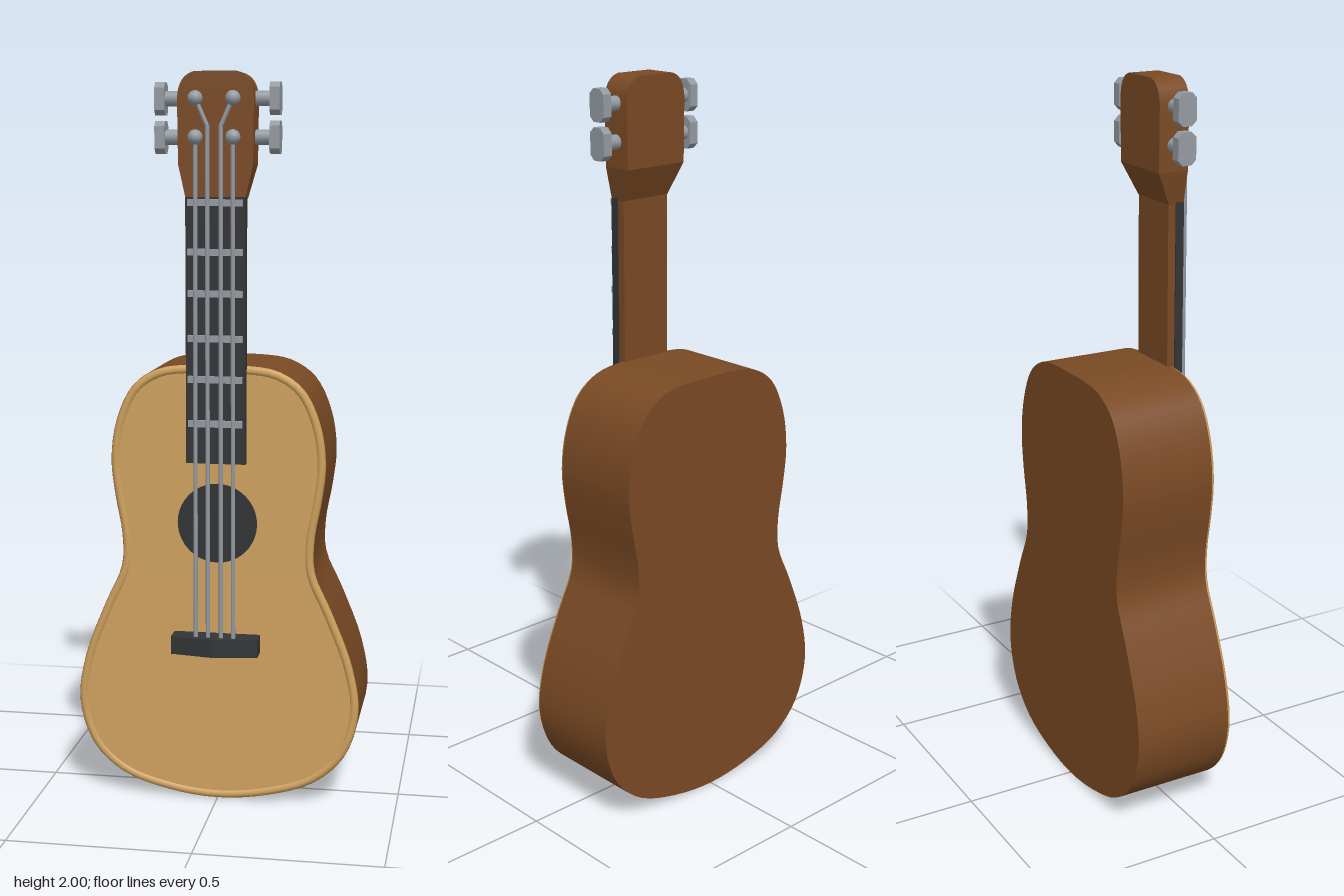
import * as THREE from 'three';
import { toCreasedNormals } from 'three/addons/utils/BufferGeometryUtils.js';

const mat = (name, color) => {
  const m = new THREE.MeshStandardMaterial({ color });
  m.name = name;
  return m;
};

export function createModel() {
  const group = new THREE.Group();
  const brown = mat('brown wood', 0x7a4a24);
  const tan = mat('pale wood', 0xcfa25f);
  const dark = mat('dark wood', 0x333436);
  const metal = mat('metal', 0x949ba2);

  const add = (name, geometry, material) => {
    const mesh = new THREE.Mesh(geometry, material);
    mesh.name = name;
    group.add(mesh);
    return mesh;
  };
  // Box given by its limits on each axis
  const box = (x0, x1, y0, y1, z0, z1) =>
    new THREE.BoxGeometry(x1 - x0, y1 - y0, z1 - z0)
      .translate((x0 + x1) / 2, (y0 + y1) / 2, (z0 + z1) / 2);
  // Round bar between two points
  const rod = (name, a, b, r, material, sides = 8) => {
    const from = new THREE.Vector3(...a), to = new THREE.Vector3(...b);
    const dir = to.clone().sub(from);
    const mesh = add(name, new THREE.CylinderGeometry(r, r, dir.length(), sides), material);
    mesh.position.copy(from).add(to).multiplyScalar(0.5);
    mesh.quaternion.setFromUnitVectors(new THREE.Vector3(0, 1, 0), dir.normalize());
    return mesh;
  };
  // Move every vertex by a rule
  const bend = (geometry, rule) => {
    const p = geometry.attributes.position, v = new THREE.Vector3();
    for (let i = 0; i < p.count; i++) {
      rule(v.fromBufferAttribute(p, i));
      p.setXYZ(i, v.x, v.y, v.z);
    }
    return geometry;
  };
  // The body gets slightly thinner toward the neck
  const taper = (g) => bend(g, (v) => { v.z *= 1 - 0.07 * v.y / 1.22; });

  // Body outline: right half mirrored into a closed curve
  const half = [[0.14, 0.016], [0.27, 0.06], [0.355, 0.14], [0.394, 0.265], [0.375, 0.4],
    [0.318, 0.55], [0.27, 0.66], [0.268, 0.75], [0.287, 0.86], [0.297, 0.96], [0.281, 1.07],
    [0.235, 1.165], [0.165, 1.212], [0.08, 1.225]];
  const loop = [[0, 0], ...half, [0, 1.225], ...half.map(([x, y]) => [-x, y]).reverse()];
  const curve = new THREE.CatmullRomCurve3(
    loop.map(([x, y]) => new THREE.Vector3(x, y, 0)), true, 'centripetal');
  const N = 120;
  const outline = curve.getPoints(N).slice(0, N);
  const inset = (d) => outline.map((p, i) => {
    const a = outline[(i + N - 1) % N], b = outline[(i + 1) % N];
    const t = b.clone().sub(a).normalize();
    return new THREE.Vector3(p.x - t.y * d, p.y + t.x * d, 0);
  });
  const slab = (points, z0, z1) => taper(new THREE.ExtrudeGeometry(
    new THREE.Shape(points.map((p) => new THREE.Vector2(p.x, p.y))),
    { depth: z1 - z0, bevelEnabled: false }).translate(0, 0, z0));

  add('bodyShell', toCreasedNormals(slab(outline, -0.181, 0.108), 0.6), brown);
  add('soundboard', toCreasedNormals(slab(inset(0.012), 0.1, 0.114), 0.6), tan);
  const rimPath = new THREE.CatmullRomCurve3(inset(0.013), true);
  add('bodyRim', taper(new THREE.TubeGeometry(rimPath, N, 0.0125, 8, true)
    .translate(0, 0, 0.1075)), tan);

  // Sound hole
  add('soundHole', new THREE.CylinderGeometry(0.11, 0.11, 0.006, 40)
    .rotateX(Math.PI / 2).translate(0, 0.79, 0.109), dark);

  // Bridge, its front rising to a ridge in the middle
  const bridge = bend(new THREE.BoxGeometry(0.24, 0.05, 0.06, 2, 1, 1).translate(0, 0.455, 0.135),
    (v) => { if (v.z > 0.15) v.z = Math.abs(v.x) < 0.01 ? 0.185 : 0.165; }).toNonIndexed();
  bridge.computeVertexNormals();
  add('bridge', bridge, dark);

  // Neck and fingerboard
  add('neck', box(-0.078, 0.078, 0.97, 1.68, 0.09, 0.124), brown);
  add('fingerboard', box(-0.081, 0.081, 0.96, 1.675, 0.112, 0.136), dark);
  for (const y of [1.66, 1.53, 1.42, 1.3, 1.19, 1.07])
    add('fret', box(-0.074, 0.074, y - 0.009, y + 0.009, 0.13, 0.147), metal);

  // Headstock: flared lower part, then a rounded upper part
  const flare = bend(box(-0.1, 0.1, 1.67, 1.76, 0.047, 0.135), (v) => {
    if (v.y < 1.7) {
      v.x *= 0.8;
      if (v.z < 0.1) v.z = 0.09;
    }
  }).toNonIndexed();
  flare.computeVertexNormals();
  add('headstockBase', flare, brown);
  const head = new THREE.Shape();
  head.moveTo(-0.1, 1.76);
  head.lineTo(0.1, 1.76);
  head.lineTo(0.102, 1.93);
  head.quadraticCurveTo(0.1, 1.99, 0.055, 2);
  head.lineTo(-0.055, 2);
  head.quadraticCurveTo(-0.1, 1.99, -0.102, 1.93);
  head.closePath();
  add('headstock', toCreasedNormals(new THREE.ExtrudeGeometry(head,
    { depth: 0.088, bevelEnabled: false, curveSegments: 8 }).translate(0, 0, 0.047), 0.5), brown);

  // Tuning knob: tall plate with cut corners, lying across x
  const [w, h, c] = [0.027, 0.043, 0.014];
  const knobShape = new THREE.Shape([[w, h - c], [w - c, h], [c - w, h], [-w, h - c],
    [-w, c - h], [c - w, -h], [w - c, -h], [w, c - h]].map(([x, y]) => new THREE.Vector2(x, y)));
  const knob = new THREE.ExtrudeGeometry(knobShape, { depth: 0.027, bevelEnabled: false })
    .translate(0, 0, -0.0135).rotateY(Math.PI / 2);

  for (const s of [-1, 1]) {
    for (const y of [1.93, 1.83]) {
      rod('tunerShaft', [s * 0.095, y, 0.091], [s * 0.145, y, 0.091], 0.02, metal, 12);
      add('tunerKnob', knob, metal).position.set(s * 0.1535, y, 0.091);
      rod('stringPost', [s * 0.05, y, 0.125], [s * 0.05, y, 0.155], 0.009, metal);
      add('postCap', new THREE.SphereGeometry(0.02, 16, 12), metal)
        .position.set(s * 0.05, y, 0.157);
    }
    // Outer string ends at the lower post, inner string fans out to the upper one
    rod('outerString', [s * 0.052, 0.46, 0.157], [s * 0.05, 1.83, 0.157], 0.006, metal);
    rod('innerString', [s * 0.018, 0.46, 0.157], [s * 0.018, 1.86, 0.157], 0.006, metal);
    rod('innerStringEnd', [s * 0.018, 1.858, 0.157], [s * 0.05, 1.93, 0.157], 0.006, metal);
  }
  return group;
}
